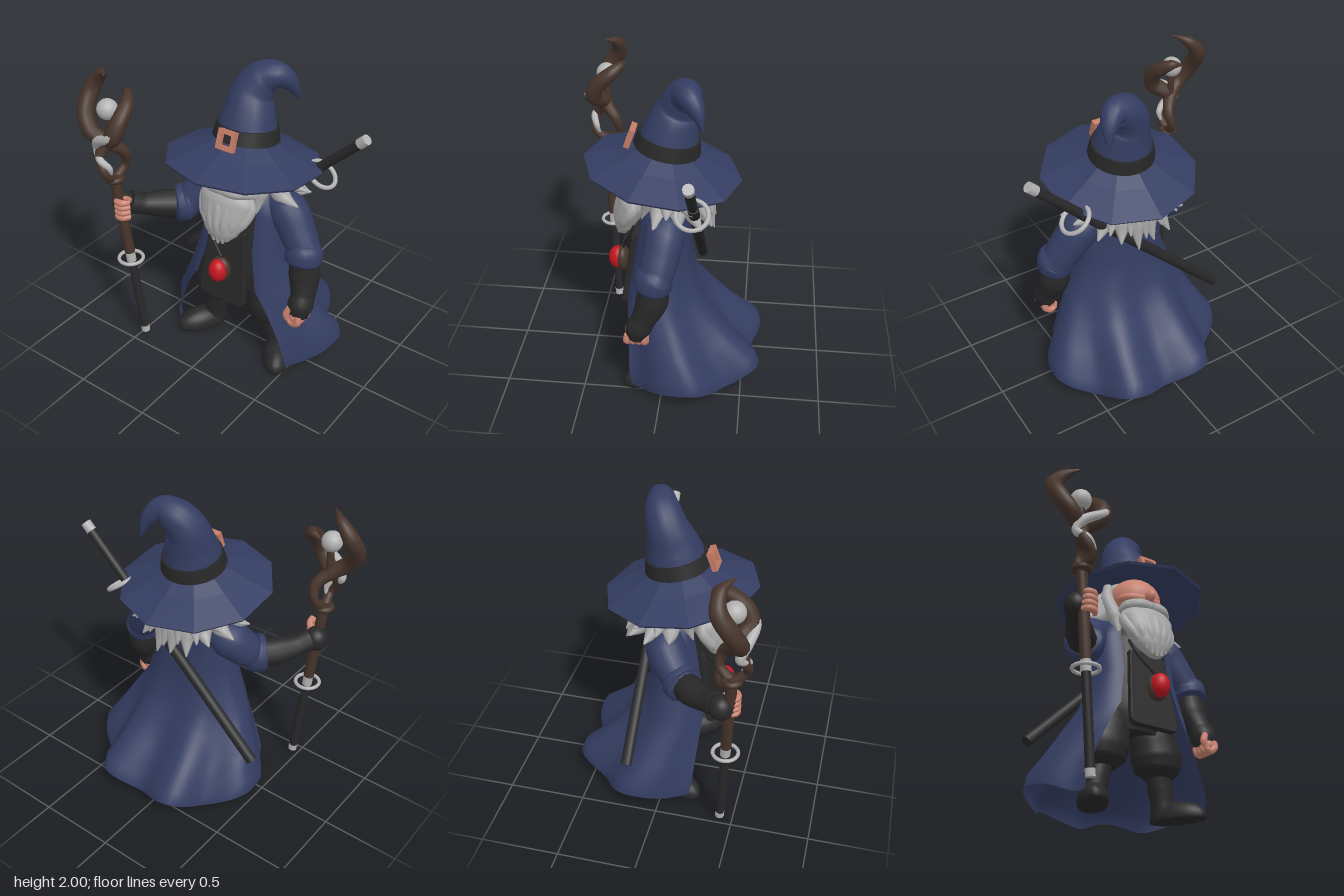
import * as THREE from 'three';
import { toCreasedNormals } from 'three/addons/utils/BufferGeometryUtils.js';

const paint = (name, color, side = THREE.FrontSide) => {
  const m = new THREE.MeshStandardMaterial({ color, side });
  m.name = name;
  return m;
};

export function createModel() {
  const navy = paint('navy cloth', 0x343d62, THREE.DoubleSide);
  const black = paint('black cloth', 0x282828);
  const brown = paint('dark wood', 0x46342b);
  const grey = paint('grey hair', 0xa9a9a9);
  const silver = paint('silver', 0xb2b2b2);
  const skin = paint('skin', 0xc98270);
  const copper = paint('copper', 0xc47c66);
  const red = paint('red gem', 0xc41722);
  const root = new THREE.Group();
  const CX = 0.08; // middle of the body

  const add = (name, geo, mat, pos = [0, 0, 0], rot = [0, 0, 0]) => {
    const m = new THREE.Mesh(geo, mat);
    m.name = name;
    m.position.set(...pos);
    m.rotation.set(...rot);
    root.add(m);
    return m;
  };
  const ball = (name, mat, pos, size) => {
    add(name, new THREE.SphereGeometry(1, 24, 16), mat, pos).scale.set(...size);
  };

  // Tapered tube through [x, y, z, radius] stops; flat squashes the section.
  function sweep(name, mat, stops, { seg = 20, sides = 12, flat = 1 } = {}) {
    const curve = new THREE.CatmullRomCurve3(stops.map(s => new THREE.Vector3(s[0], s[1], s[2])));
    const pos = [], idx = [], N = new THREE.Vector3(), B = new THREE.Vector3();
    for (let i = 0; i <= seg; i++) {
      const t = i / seg, c = curve.getPoint(t), T = curve.getTangent(t);
      if (i === 0) N.set(Math.abs(T.x) < 0.8 ? 1 : 0, Math.abs(T.x) < 0.8 ? 0 : 1, 0);
      N.addScaledVector(T, -N.dot(T)).normalize();
      B.crossVectors(T, N);
      const f = t * (stops.length - 1), k = Math.min(Math.floor(f), stops.length - 2);
      const r = THREE.MathUtils.lerp(stops[k][3], stops[k + 1][3], f - k);
      for (let j = 0; j < sides; j++) {
        const a = j / sides * Math.PI * 2;
        const p = c.clone().addScaledVector(N, r * Math.cos(a)).addScaledVector(B, r * flat * Math.sin(a));
        pos.push(p.x, p.y, p.z);
      }
    }
    const first = pos.length / 3;
    for (const t of [0, 1]) pos.push(...curve.getPoint(t).toArray());
    for (let j = 0; j < sides; j++) {
      const j2 = (j + 1) % sides, e = seg * sides;
      for (let i = 0; i < seg; i++) {
        const a = i * sides + j, b = i * sides + j2;
        idx.push(a, b, a + sides, b, b + sides, a + sides);
      }
      idx.push(first, j2, j, first + 1, e + j, e + j2);
    }
    const g = new THREE.BufferGeometry();
    g.setAttribute('position', new THREE.Float32BufferAttribute(pos, 3));
    g.setIndex(idx);
    return add(name, toCreasedNormals(g, 1), mat);
  }
  const rod = (name, mat, a, b, r) => sweep(name, mat, [[...a, r], [...b, r]], { seg: 1 });

  // Coat: open-fronted rows [y, centre z, half width, half depth, gap in degrees, ripple]
  const rows = [
    [1.27, 0, 0.10, 0.09, 25, 0], [1.22, 0, 0.21, 0.135, 27, 0], [1.1, 0.01, 0.275, 0.16, 29, 0],
    [0.85, 0.03, 0.28, 0.18, 29, 0], [0.6, 0.03, 0.36, 0.22, 29, 0.015], [0.45, -0.02, 0.43, 0.28, 37, 0.04],
    [0.3, -0.06, 0.49, 0.36, 46, 0.07], [0.17, -0.11, 0.55, 0.455, 50, 0.09], [0.085, -0.12, 0.555, 0.475, 53, 0.1],
  ];
  const cols = 80, cp = [], ci = [];
  rows.forEach(([y, cz, rx, rz, gap, wave], i) => {
    for (let j = 0; j <= cols; j++) {
      const g = gap * Math.PI / 180, a = g + (2 * Math.PI - 2 * g) * j / cols;
      // folds widen from the back towards the sides
      const fold = -wave * Math.cos(6.8 * Math.abs(a - Math.PI) ** 0.83);
      const s = Math.sin(a), c = Math.cos(a), k = 1 + fold;
      const e = c > 0 ? 0.7 : 0.9; // boxier at the front than at the back
      cp.push(CX + 0.005 + rx * k * Math.sign(s) * Math.abs(s) ** e, y + 0.4 * fold, cz + rz * k * Math.sign(c) * Math.abs(c) ** e);
      if (i && j) {
        const q = i * (cols + 1) + j, p = q - cols - 1;
        ci.push(p - 1, q - 1, p, p, q - 1, q);
      }
    }
  });
  const coat = new THREE.BufferGeometry();
  coat.setAttribute('position', new THREE.Float32BufferAttribute(cp, 3));
  coat.setIndex(ci);
  coat.computeVertexNormals();
  add('coat', coat, navy);

  // Tunic and apron panel
  sweep('tunic', black, [[CX, 1.2, 0.0, 0.13], [CX, 1.1, 0.01, 0.18], [CX, 0.85, 0.03, 0.2], [CX, 0.62, 0.04, 0.21], [CX, 0.5, 0.03, 0.19]], { flat: 0.72, sides: 24 });
  const ap = new THREE.Shape();
  ap.moveTo(-0.13, 0);
  ap.lineTo(0.13, 0);
  ap.quadraticCurveTo(0.165, 0, 0.165, 0.04);
  ap.lineTo(0.125, 0.5);
  ap.lineTo(-0.125, 0.5);
  ap.lineTo(-0.165, 0.04);
  ap.quadraticCurveTo(-0.165, 0, -0.13, 0);
  add('apron', new THREE.ExtrudeGeometry(ap, { depth: 0.03, bevelSize: 0.006, bevelThickness: 0.006, bevelSegments: 1 }), black, [CX, 0.475, 0.252], [-0.14, 0, 0]);

  // Pendant on a cord
  for (const s of [-1, 1]) sweep('cord', black, [[CX + s * 0.13, 1.05, 0.2, 0.009], [CX + s * 0.1, 0.94, 0.25, 0.009], [CX + 0.01, 0.81, 0.29, 0.009]], { sides: 6 });
  ball('pendant setting', brown, [CX + 0.01, 0.73, 0.295], [0.07, 0.088, 0.045]);
  ball('pendant gem', red, [CX + 0.01, 0.735, 0.325], [0.06, 0.077, 0.06]);

  // Trousers and boots
  for (const s of [-1, 1]) {
    const x = d => CX + s * d;
    sweep('trouserLeg', black, [[x(0.1), 0.64, 0.02, 0.11], [x(0.165), 0.52, 0.02, 0.15], [x(0.2), 0.39, 0.02, 0.168], [x(0.205), 0.31, 0.02, 0.15], [x(0.205), 0.26, 0.02, 0.09]], { sides: 18, flat: 0.9 });
    sweep('bootShaft', black, [[x(0.21), 0.3, 0.02, 0.075], [x(0.235), 0.2, 0.01, 0.08], [x(0.25), 0.13, 0.01, 0.075], [x(0.27), 0.03, 0.0, 0.085]]);
    const foot = new THREE.SphereGeometry(1, 24, 14), p = foot.attributes.position;
    for (let i = 0; i < p.count; i++) p.setY(i, Math.max(p.getY(i), -0.2));
    foot.computeVertexNormals();
    add('boot', foot, black, [x(0.308), 0.02, 0.085], [0, s * 0.5, 0]).scale.set(0.092, 0.1, 0.185);
  }

  // Sleeves, forearms and hands
  sweep('leftSleeve', navy, [[0.24, 1.17, -0.02, 0.09], [0.37, 1.12, -0.01, 0.125], [0.46, 1.0, 0.01, 0.115], [0.52, 0.91, 0.03, 0.105], [0.53, 0.89, 0.04, 0.12], [0.535, 0.84, 0.05, 0.115], [0.535, 0.82, 0.055, 0.09]], { seg: 30, sides: 18 });
  sweep('rightSleeve', navy, [[-0.08, 1.17, -0.02, 0.09], [-0.2, 1.11, 0, 0.125], [-0.27, 1.03, 0.06, 0.115], [-0.3, 0.99, 0.1, 0.105], [-0.32, 0.98, 0.12, 0.125], [-0.355, 0.97, 0.155, 0.12], [-0.37, 0.97, 0.17, 0.085]], { seg: 30, sides: 18 });
  sweep('leftForearm', black, [[0.535, 0.88, 0.04, 0.09], [0.55, 0.74, 0.05, 0.1], [0.575, 0.62, 0.1, 0.075], [0.578, 0.56, 0.13, 0.082], [0.577, 0.49, 0.145, 0.06]]);
  sweep('rightForearm', black, [[-0.34, 0.97, 0.14, 0.09], [-0.42, 0.98, 0.22, 0.09], [-0.5, 1.0, 0.32, 0.07], [-0.55, 1.03, 0.39, 0.075]]);
  ball('rightGlove', black, [-0.575, 1.03, 0.42], [0.075, 0.08, 0.075]);
  ball('leftPalm', skin, [0.57, 0.495, 0.145], [0.045, 0.05, 0.068]);
  for (let i = 0; i < 4; i++) {
    const z = 0.09 + 0.035 * i, y = 0.985 + 0.036 * i;
    sweep('leftFinger', skin, [[0.602, 0.52, z, 0.02], [0.605, 0.48, z + 0.005, 0.024], [0.575, 0.455, z, 0.024], [0.545, 0.465, z, 0.02], [0.535, 0.5, z, 0.014]], { sides: 8 });
    sweep('rightFinger', skin, [[-0.575, y, 0.48, 0.016], [-0.55, y, 0.51, 0.021], [-0.51, y, 0.505, 0.022], [-0.48, y, 0.47, 0.016]], { sides: 8 });
  }
  sweep('leftThumb', skin, [[0.54, 0.56, 0.19, 0.02], [0.52, 0.51, 0.2, 0.023], [0.53, 0.47, 0.2, 0.015]], { sides: 8 });
  sweep('rightThumb', skin, [[-0.54, 1.06, 0.42, 0.022], [-0.5, 1.1, 0.46, 0.021], [-0.5, 1.13, 0.49, 0.013]], { sides: 8 });

  // Head, face and beard
  ball('hairCap', grey, [CX, 1.4, -0.04], [0.185, 0.19, 0.17]);
  ball('face', skin, [CX, 1.4, 0.08], [0.172, 0.15, 0.165]);
  ball('cheeks', skin, [CX, 1.365, 0.13], [0.165, 0.06, 0.115]);
  ball('nose', skin, [CX, 1.375, 0.245], [0.032, 0.045, 0.05]);
  for (const s of [-1, 1]) {
    sweep('moustache', grey, [[CX, 1.29, 0.26, 0.034], [CX + s * 0.08, 1.29, 0.25, 0.04], [CX + s * 0.145, 1.28, 0.2, 0.037], [CX + s * 0.175, 1.25, 0.16, 0.015]]);
    sweep('sideburn', grey, [[CX + s * 0.18, 1.48, 0.04, 0.03], [CX + s * 0.195, 1.37, 0.06, 0.042], [CX + s * 0.165, 1.24, 0.1, 0.05], [CX + s * 0.165, 1.12, 0.14, 0.01]]);
  }
  sweep('beard', grey, [[CX, 1.3, 0.16, 0.14], [CX, 1.2, 0.205, 0.19], [CX, 1.1, 0.245, 0.165], [CX, 1.0, 0.275, 0.115], [CX, 0.94, 0.285, 0.05]], { flat: 0.55, sides: 24 });
  for (let i = -3; i <= 3; i++) {
    const w = i / 3, d = w * w;
    sweep('beardStrand', grey, [[CX + w * 0.11, 1.28, 0.245 - d * 0.06, 0.025], [CX + w * 0.165, 1.18, 0.285 - d * 0.08, 0.038], [CX + w * 0.14, 1.07 + d * 0.02, 0.312 - d * 0.06, 0.035], [CX + w * 0.1, 0.93 + d * 0.08, 0.31 - d * 0.02, 0.008]]);
  }

  // Hair tufts: long at the back, flicked out at the sides
  for (let layer = 0; layer < 2; layer++) {
    for (let i = 0; i < 10 - layer; i++) {
      const a = 1.4 + (i + layer * 0.5) / 9 * (2 * Math.PI - 2.8), s = Math.sin(a), c = Math.cos(a), side = s * s;
      const at = (r, y, w) => [CX + s * r, y, c * r - 0.02, w];
      const up = layer * 0.07, wild = 0.03 * (i % 2);
      sweep('hairTuft', grey, [at(0.14, 1.44, 0.05), at(0.195, 1.34 + up * 0.5, 0.065), at(0.22 + 0.06 * side, 1.18 + 0.05 * side + up, 0.055), at(0.27 + 0.14 * side, 1.02 + 0.19 * side + up + wild, 0.005)], { sides: 8 });
    }
  }

  // Hat: faceted brim, curled crown, band and buckle
  const prof = [[0.17, 0.155], [0.3, 0.085], [0.487, 0], [0.477, -0.015], [0.17, 0.125]].map(p => new THREE.Vector2(...p));
  const brim = new THREE.LatheGeometry(prof, 10).toNonIndexed();
  brim.computeVertexNormals();
  add('hatBrim', brim, navy, [0.075, 1.4, 0.035], [-0.13, 0, 0]);
  sweep('hatCrown', navy, [[0.075, 1.53, 0.01, 0.2], [0.072, 1.67, -0.02, 0.165], [0.068, 1.8, -0.06, 0.128], [0.12, 1.89, -0.1, 0.108], [0.2, 1.92, -0.13, 0.08], [0.262, 1.86, -0.18, 0.048], [0.29, 1.75, -0.22, 0.004]], { seg: 30, sides: 16 });
  add('hatBand', new THREE.CylinderGeometry(0.188, 0.205, 0.085, 24), black, [0.075, 1.58, 0], [-0.18, 0, 0]);
  const frame = new THREE.Shape();
  frame.moveTo(-0.06, -0.06);
  frame.lineTo(0.06, -0.06);
  frame.lineTo(0.06, 0.06);
  frame.lineTo(-0.06, 0.06);
  const hole = new THREE.Path();
  hole.moveTo(-0.036, -0.036);
  hole.lineTo(-0.036, 0.036);
  hole.lineTo(0.036, 0.036);
  hole.lineTo(0.036, -0.036);
  frame.holes.push(hole);
  add('buckle', new THREE.ExtrudeGeometry(frame, { depth: 0.035, bevelEnabled: false }), copper, [0.09, 1.605, 0.21], [-0.35, 0, 0]);

  // Staff: capped shaft, ring, twisted horns around an orb
  const shaft = y => [-0.465 - 0.096 * (y - 0.04), y, 0.42 + 0.05 * (y - 0.04)];
  rod('staffTip', silver, shaft(0.035), shaft(0.08), 0.029);
  rod('staffGrip', black, shaft(0.08), shaft(0.64), 0.028);
  rod('staffFerrule', silver, shaft(0.62), shaft(0.69), 0.032);
  add('staffRing', new THREE.TorusGeometry(0.078, 0.012, 8, 28), silver, shaft(0.64), [Math.PI / 2, 0, 0]);
  rod('staffShaft', brown, shaft(0.69), shaft(1.27), 0.034);
  add('staffCollar', new THREE.TorusGeometry(0.045, 0.02, 8, 20), brown, shaft(1.24), [Math.PI / 2, 0, 0]);
  sweep('staffHornLarge', brown, [[-0.58, 1.23, 0.48, 0.035], [-0.555, 1.32, 0.4, 0.026], [-0.54, 1.41, 0.42, 0.035], [-0.6, 1.49, 0.49, 0.045], [-0.69, 1.56, 0.535, 0.052], [-0.755, 1.67, 0.5, 0.055], [-0.75, 1.8, 0.42, 0.052], [-0.68, 1.89, 0.42, 0.036], [-0.6, 1.93, 0.48, 0.004]], { seg: 48 });
  sweep('staffHornSmall', brown, [[-0.58, 1.23, 0.48, 0.035], [-0.57, 1.31, 0.565, 0.026], [-0.62, 1.41, 0.555, 0.032], [-0.59, 1.5, 0.5, 0.045], [-0.5, 1.58, 0.555, 0.055], [-0.475, 1.67, 0.52, 0.052], [-0.485, 1.75, 0.43, 0.046], [-0.53, 1.79, 0.37, 0.03], [-0.59, 1.78, 0.35, 0.004]], { seg: 48 });
  sweep('staffVine', silver, [[-0.45, 1.67, 0.55, 0.012], [-0.5, 1.59, 0.587, 0.028], [-0.62, 1.52, 0.56, 0.03], [-0.655, 1.45, 0.53, 0.028], [-0.6, 1.4, 0.57, 0.024], [-0.55, 1.35, 0.55, 0.02], [-0.56, 1.28, 0.53, 0.006]], { seg: 36 });
  rod('orbPost', brown, [-0.59, 1.46, 0.48], [-0.593, 1.67, 0.48], 0.022);
  ball('staffOrb', silver, [-0.595, 1.71, 0.48], [0.065, 0.065, 0.065]);

  // Sword slung across the back
  const blade = t => [-0.53 + 1.31 * t, 0.4 + 1.26 * t, -0.18];
  rod('scabbard', black, blade(0), blade(0.755), 0.035);
  rod('swordHandle', black, blade(0.75), blade(0.97), 0.03);
  rod('pommel', silver, blade(0.965), blade(1), 0.033);
  add('swordGuard', new THREE.TorusGeometry(0.095, 0.014, 8, 28), silver, [0.5, 1.33, -0.18]).lookAt(new THREE.Vector3(1.1, 2.16, -0.18));
  return root;
}
